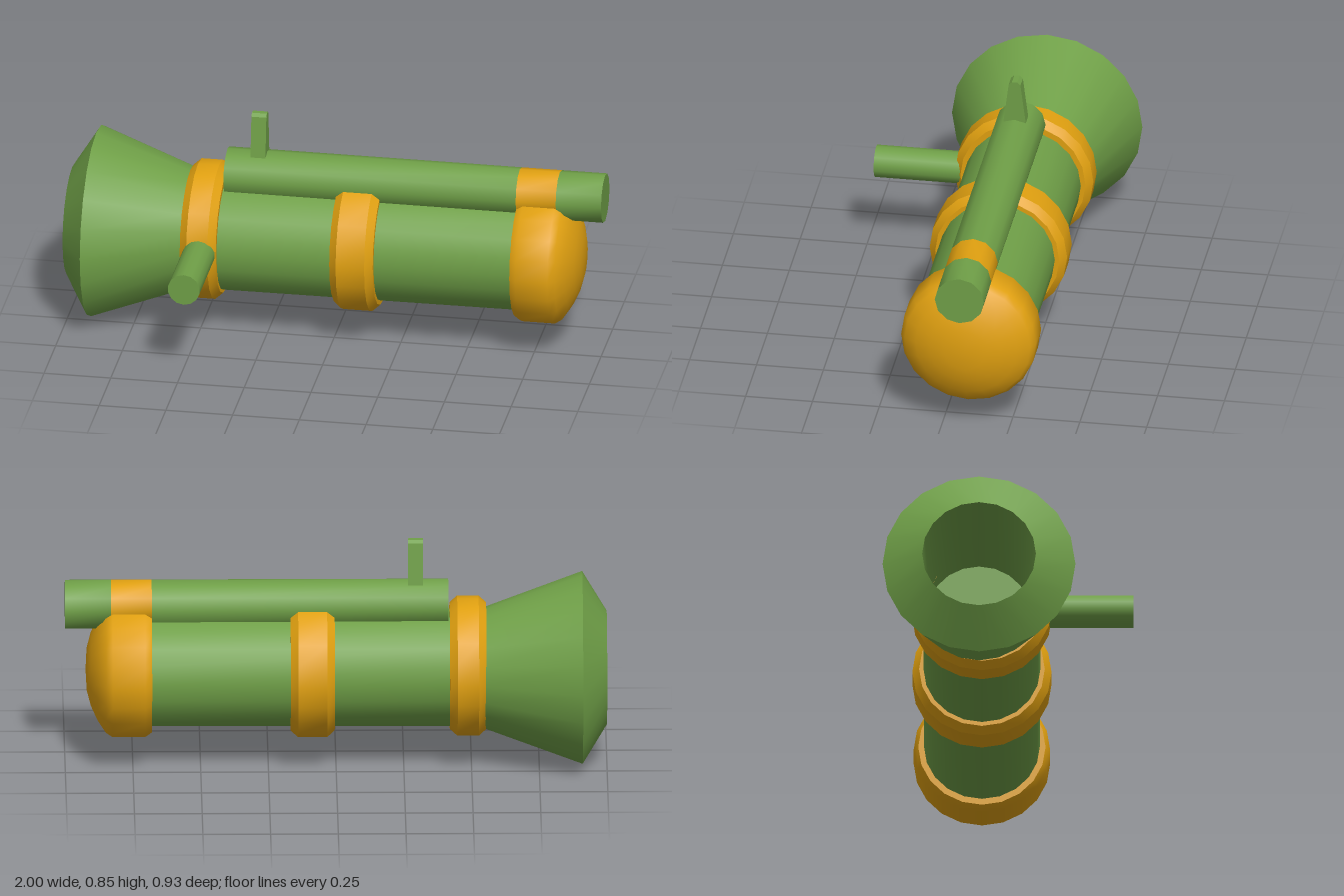
import * as THREE from 'three';
import { toCreasedNormals } from 'three/addons/utils/BufferGeometryUtils.js';

const green = new THREE.MeshStandardMaterial({ color: 0x6f9f47 });
green.name = 'olive green';
const amber = new THREE.MeshStandardMaterial({ color: 0xe0a010 });
amber.name = 'amber';

export function createModel() {
  const model = new THREE.Group();
  model.name = 'launcher';

  const add = (name, geometry, material) => {
    const mesh = new THREE.Mesh(geometry, material);
    mesh.name = name;
    model.add(mesh);
    return mesh;
  };

  // Turned part along x; profile entries are [x, radius]
  const turned = (name, profile, y, z, sides, material, crease = 0.7) => {
    const points = profile.map(([x, r]) => new THREE.Vector2(r, x));
    const geometry = new THREE.LatheGeometry(points, sides).rotateZ(-Math.PI / 2);
    add(name, toCreasedNormals(geometry, crease), material).position.set(0, y, z);
  };

  // Flared rear bell with a hollow bore
  turned('rearBell', [
    [-0.48, 0], [-0.48, 0.19], [-1, 0.21], [-0.91, 0.356], [-0.55, 0.225], [-0.45, 0.2],
  ], 0.357, -0.107, 20, green);

  // Main barrel
  turned('barrel', [[-0.47, 0], [-0.47, 0.217], [0.72, 0.214], [0.72, 0]], 0.356, -0.096, 20, green);

  // Raised bands around the barrel
  const band = (name, x0, x1, r, y) => turned(name, [
    [x0, 0.2], [x0, r - 0.025], [x0 + 0.028, r], [x1 - 0.028, r], [x1, r - 0.025], [x1, 0.2],
  ], y, -0.096, 20, amber);
  band('rearBand', -0.555, -0.42, 0.259, 0.362);
  band('middleBand', 0.005, 0.168, 0.257, 0.356);

  // Rounded nose with its collar
  turned('nose', [
    [0.68, 0.2], [0.68, 0.235], [0.705, 0.252], [0.825, 0.252], [0.85, 0.235],
    [0.88, 0.19], [0.905, 0.135], [0.92, 0.078], [0.924, 0],
  ], 0.353, -0.096, 20, amber);

  // Sighting tube in three lengths, with an amber clamp
  const scope = (name, profile, material) => turned(name, profile, 0.603, -0.09, 12, material);
  const r = 0.092;
  scope('scopeRear', [[-0.415, 0], [-0.415, r], [0.68, r]], green);
  scope('scopeClamp', [[0.68, r], [0.83, r]], amber);
  scope('scopeFront', [[0.83, r], [1, r], [1, 0]], green);

  // Tapered sight blade
  const blade = new THREE.Shape([
    [-0.045, 0.66], [0.045, 0.66], [0.022, 0.84], [0.01, 0.851], [-0.01, 0.851], [-0.022, 0.84],
  ].map(([z, y]) => new THREE.Vector2(z, y)));
  const bladeGeometry = new THREE.ExtrudeGeometry(blade, { depth: 0.056, bevelEnabled: false });
  add('sightBlade', bladeGeometry.rotateY(Math.PI / 2), green).position.set(-0.322, 0, -0.09);

  // Side grip
  const grip = new THREE.CylinderGeometry(0.06, 0.06, 0.4, 14).rotateX(Math.PI / 2);
  add('sideGrip', grip, green).position.set(-0.483, 0.362, 0.263);

  return model;
}
